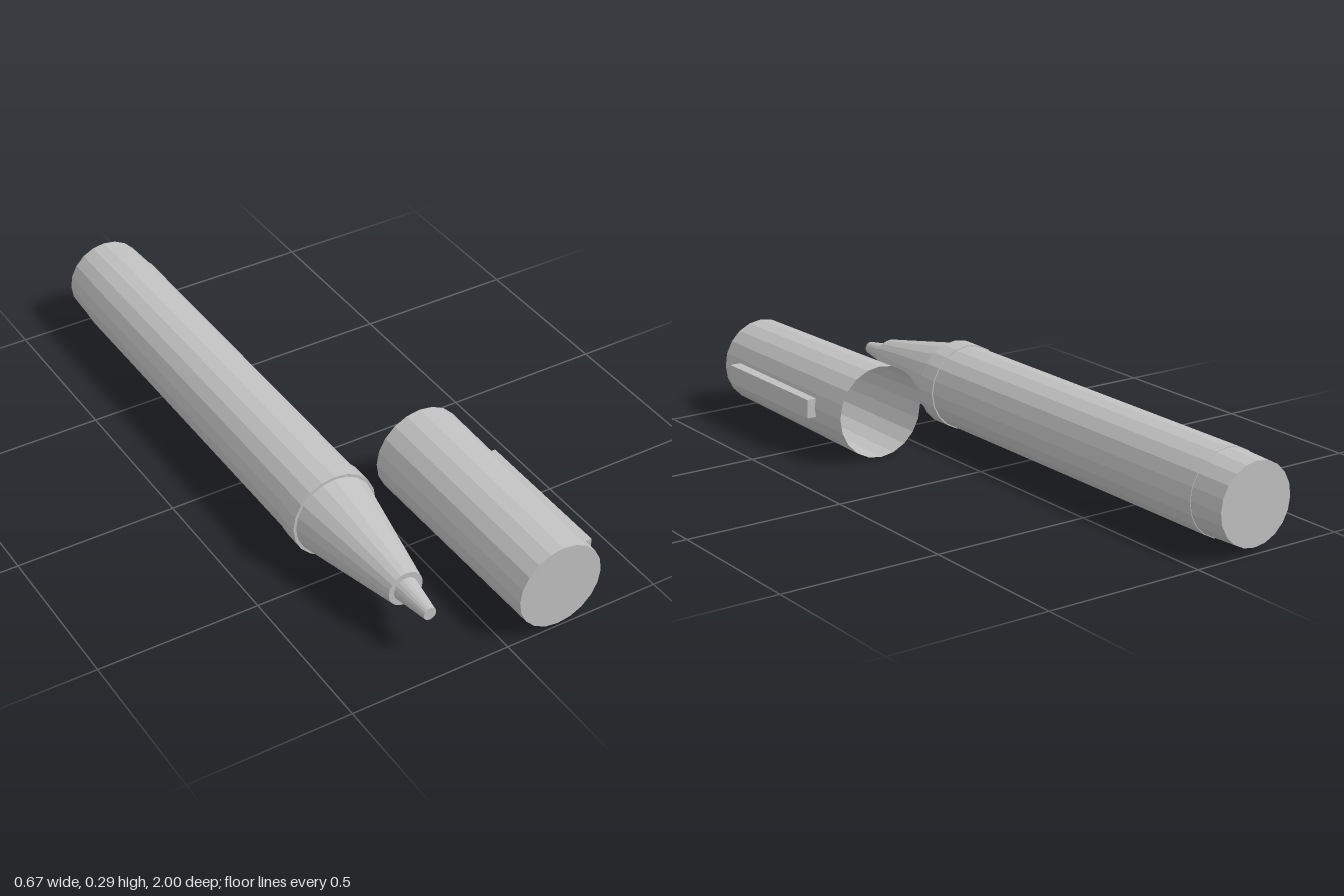
import * as THREE from 'three';

const SIDES = 20;
const AXIS_Y = 0.1445;

export function createModel() {
  const grey = new THREE.MeshStandardMaterial({ color: 0xc0c0c0, flatShading: true });
  grey.name = 'grey plastic';
  const shell = new THREE.MeshStandardMaterial({ color: 0xc0c0c0, flatShading: true, side: THREE.DoubleSide });
  shell.name = 'grey plastic shell';

  const model = new THREE.Group();
  model.name = 'penWithCap';

  // Tapered cylinder lying along z, from z0 (radius r0) to z1 (radius r1)
  function section(parent, name, z0, z1, r0, r1, material = grey, open = false) {
    const geometry = new THREE.CylinderGeometry(r1, r0, z1 - z0, SIDES, 1, open);
    geometry.rotateX(Math.PI / 2);
    const mesh = new THREE.Mesh(geometry, material);
    mesh.position.z = (z0 + z1) / 2;
    mesh.name = name;
    parent.add(mesh);
  }

  // Pen
  const pen = new THREE.Group();
  pen.name = 'pen';
  pen.position.set(-0.2, AXIS_Y, 0);
  section(pen, 'tailPlug', -1, -0.88, 0.125, 0.13);
  section(pen, 'barrel', -0.88, 0.35, 0.132, 0.132);
  section(pen, 'collar', 0.35, 0.42, 0.136, 0.136);
  section(pen, 'gripCone', 0.42, 0.79, 0.127, 0.055);
  section(pen, 'nib', 0.79, 0.91, 0.038, 0.02);
  model.add(pen);

  // Cap, open at the back
  const cap = new THREE.Group();
  cap.name = 'cap';
  cap.position.set(0.167, AXIS_Y, 0);
  section(cap, 'capWall', 0.29, 1, 0.1445, 0.135, shell, true);

  const end = new THREE.Mesh(new THREE.CircleGeometry(0.135, SIDES), shell);
  end.name = 'capEnd';
  end.position.z = 1;
  cap.add(end);

  // Clip, passing slightly through the cap wall
  const clip = new THREE.Mesh(new THREE.BoxGeometry(0.056, 0.059, 0.47), grey);
  clip.name = 'clip';
  clip.position.set(0.14, 0.001, 0.675);
  cap.add(clip);
  model.add(cap);

  return model;
}
